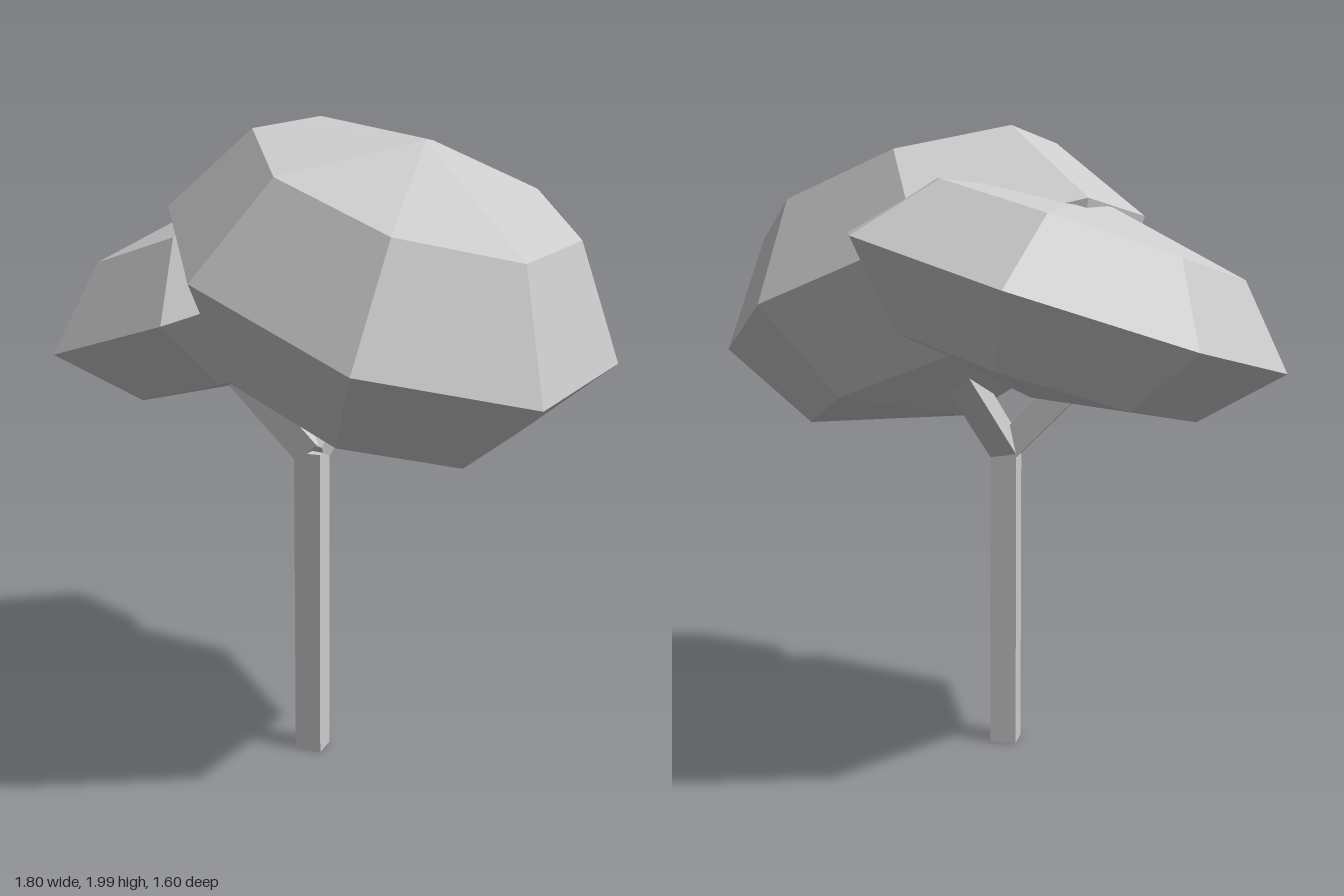
import * as THREE from 'three';

const material = new THREE.MeshStandardMaterial({ color: 0xcccccc, flatShading: true });
const v = (x, y, z) => new THREE.Vector3(x, y, z);

// Square beam running from one point to another
function beam(name, from, to, width) {
  const dir = to.clone().sub(from);
  const mesh = new THREE.Mesh(new THREE.BoxGeometry(width, dir.length(), width), material);
  mesh.name = name;
  mesh.position.copy(from).add(to).multiplyScalar(0.5);
  mesh.quaternion.setFromUnitVectors(v(0, 1, 0), dir.normalize());
  return mesh;
}

// Eight-sided squashed sphere, skewed by its three half axes (side, pole, front)
function crown(name, centre, side, pole, front) {
  const geometry = new THREE.SphereGeometry(1, 8, 4);
  geometry.applyMatrix4(new THREE.Matrix4().makeBasis(side, pole, front));
  const mesh = new THREE.Mesh(geometry, material);
  mesh.name = name;
  mesh.position.copy(centre);
  return mesh;
}

export function createModel() {
  const tree = new THREE.Group();
  tree.name = 'tree';

  // Trunk and its fork
  const fork = v(-0.01, 0.985, 0.122);
  tree.add(
    beam('trunk', v(-0.01, 0, 0.122), fork, 0.085),
    beam('rightBranch', fork, v(-0.35, 1.325, 0.122), 0.088),
    beam('backBranch', fork, v(0.09, 1.3, -0.21), 0.085),
  );

  // Two overlapping leaf masses
  tree.add(
    crown('largeCrown', v(0.23, 1.515, 0.115),
      v(0.67, -0.215, -0.095), v(0.13, 0.415, 0.065), v(0.13, -0.155, 0.685)),
    crown('smallCrown', v(-0.23, 1.481, -0.098),
      v(0.67, 0.216, -0.03), v(-0.095, 0.3, 0.01), v(-0.04, -0.054, 0.703)),
  );
  return tree;
}
